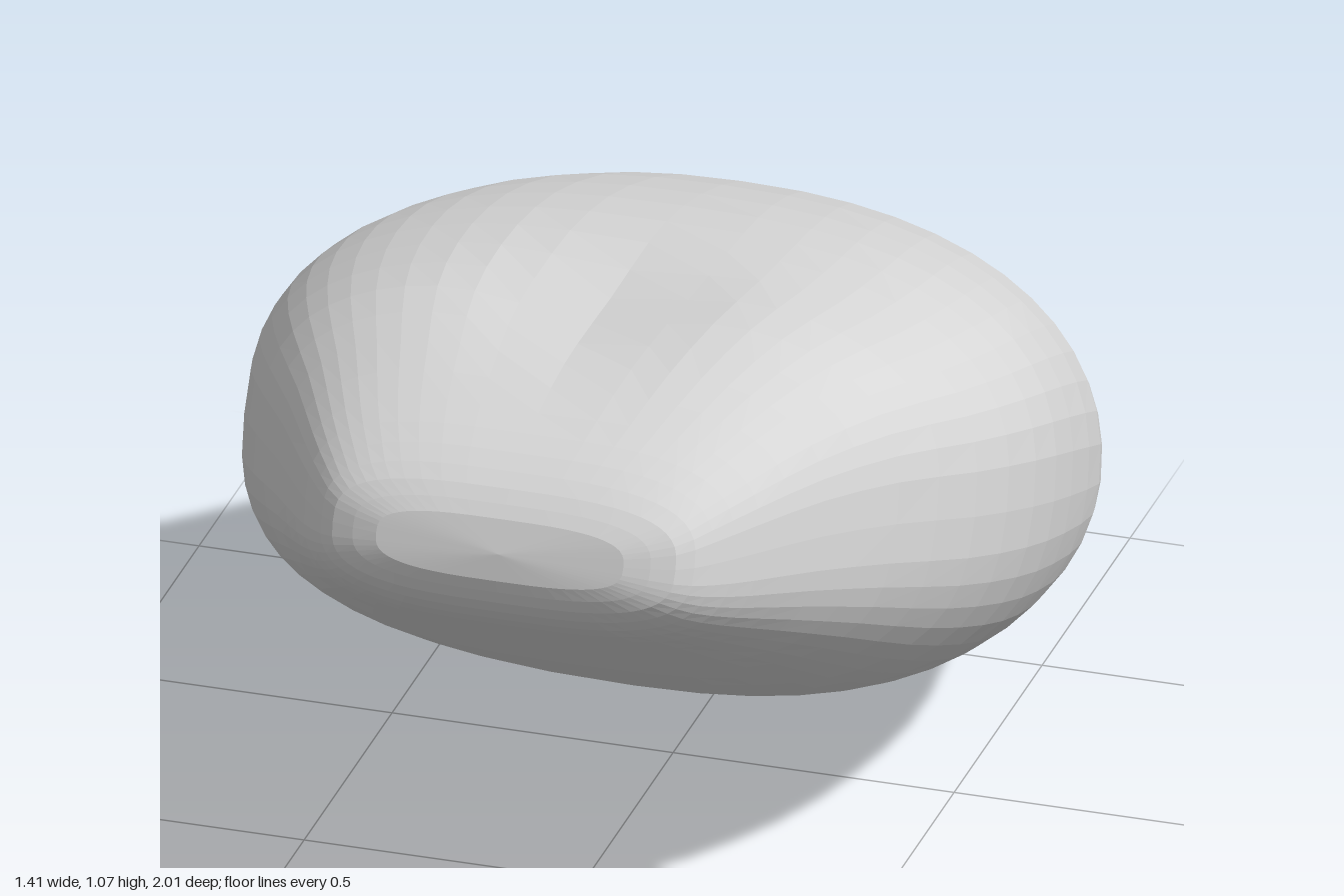
import * as THREE from 'three';

// Cross-sections along the long axis, back to front: z, half width, top, bottom
const SECTIONS = [
  [-1.04, 0.12, 0.07, -0.03],
  [-1.02, 0.25, 0.13, -0.11],
  [-0.95, 0.35, 0.215, -0.2],
  [-0.85, 0.425, 0.29, -0.26],
  [-0.7, 0.51, 0.35, -0.325],
  [-0.5, 0.605, 0.41, -0.38],
  [-0.25, 0.68, 0.466, -0.39],
  [0.0, 0.703, 0.47, -0.378],
  [0.2, 0.695, 0.445, -0.352],
  [0.4, 0.65, 0.4, -0.314],
  [0.6, 0.57, 0.345, -0.265],
  [0.75, 0.485, 0.272, -0.227],
  [0.88, 0.41, 0.187, -0.193],
  [0.96, 0.355, 0.122, -0.166],
  [1.01, 0.305, 0.065, -0.132],
  [1.035, 0.22, 0.015, -0.092],
];
const TILT = 0.349;
const STEPS = 30;
const AROUND = 52;

// Linear ramp that stays level outside its two ends
function ramp(z, z0, z1, from, to) {
  return THREE.MathUtils.lerp(from, to, THREE.MathUtils.clamp((z - z0) / (z1 - z0), 0, 1));
}

function pebbleGeometry() {
  const spline = (pick) => new THREE.CatmullRomCurve3(SECTIONS.map(pick), false, 'catmullrom', 0.5);
  const outline = spline(([z, w]) => new THREE.Vector3(z, w, 0));
  const heights = spline(([, , top, bottom]) => new THREE.Vector3(top, bottom, 0));
  const positions = [];
  const index = [];

  for (let i = 0; i <= STEPS; i++) {
    const { x: z, y: w } = outline.getPoint(i / STEPS);
    const { x: top, y: bottom } = heights.getPoint(i / STEPS);
    const mid = (top + bottom) / 2;
    const half = (top - bottom) / 2;
    // Sections grow boxier towards the front; the rear underside is keel-shaped
    const upper = ramp(z, -0.6, 0.9, 2.05, 3.1);
    const lower = ramp(z, -0.6, 0.9, 1.7, 3.1);
    // Shallow hollow along the upper front, between two soft shoulders
    const hollow = Math.exp(-(((z - 0.57) / 0.22) ** 2));
    for (let j = 0; j < AROUND; j++) {
      const a = (j / AROUND) * Math.PI * 2;
      const c = Math.cos(a), s = Math.sin(a);
      const n = s > 0 ? upper : lower;
      const x = w * Math.sign(c) * Math.abs(c) ** (2 / n);
      let y = mid + half * Math.sign(s) * Math.abs(s) ** (2 / n);
      if (s > 0) y += hollow * s * (0.008 - 0.045 * Math.exp(-((x / 0.18) ** 2)));
      positions.push(x, y, z);
    }
  }

  // Skin between neighbouring rings
  for (let i = 0; i < STEPS; i++) {
    for (let j = 0; j < AROUND; j++) {
      const k = (j + 1) % AROUND;
      const a = i * AROUND + j, b = i * AROUND + k;
      const c = a + AROUND, d = b + AROUND;
      index.push(a, b, c, b, d, c);
    }
  }

  // Small end caps
  const last = STEPS * AROUND;
  const back = positions.length / 3;
  positions.push(0, 0.02, -1.045, 0, -0.045, 1.042);
  for (let j = 0; j < AROUND; j++) {
    const k = (j + 1) % AROUND;
    index.push(back, k, j, back + 1, last + j, last + k);
  }

  const geometry = new THREE.BufferGeometry();
  geometry.setAttribute('position', new THREE.Float32BufferAttribute(positions, 3));
  geometry.setIndex(index);
  geometry.computeVertexNormals();
  return geometry;
}

export function createModel() {
  const stone = new THREE.MeshStandardMaterial({ color: 0xd6d6d6, flatShading: true });
  stone.name = 'stone grey';

  // Leans back with the front end raised
  const pebble = new THREE.Mesh(pebbleGeometry(), stone);
  pebble.name = 'pebble';
  pebble.rotation.x = -TILT;
  pebble.position.y = 0.55;

  const group = new THREE.Group();
  group.name = 'tiltedPebble';
  group.add(pebble);
  return group;
}
